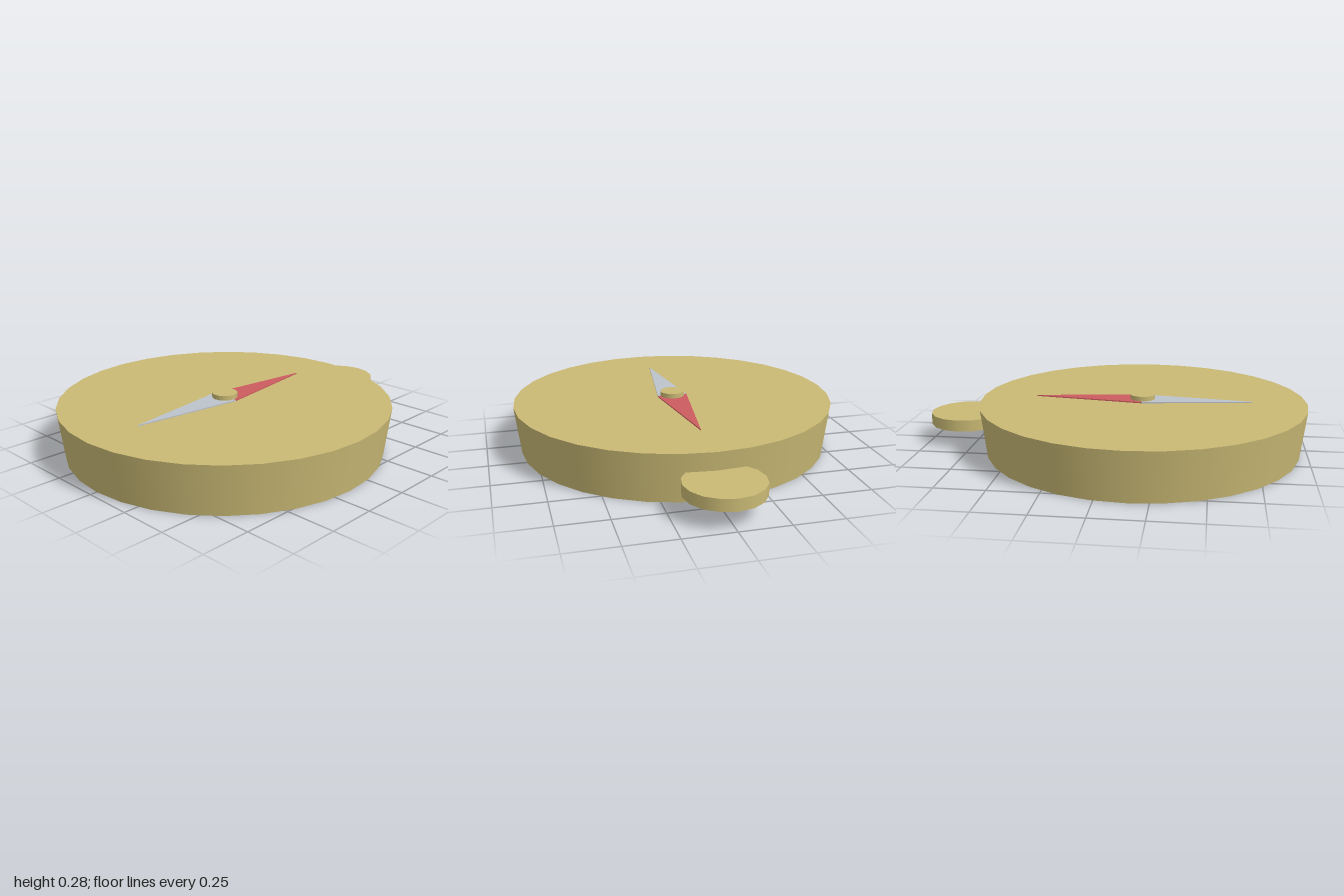
import * as THREE from 'three';

const CENTER_Z = 0.145;

export function createModel() {
  const model = new THREE.Group();
  model.name = 'compass';

  const material = (name, color) => {
    const m = new THREE.MeshStandardMaterial({ color });
    m.name = name;
    return m;
  };
  const brass = material('brass', 0xc9b974);
  const red = material('red', 0xcc5c60);
  const silver = material('silver', 0xbdc3cb);

  const add = (name, geometry, mat, y, z) => {
    const mesh = new THREE.Mesh(geometry, mat);
    mesh.name = name;
    mesh.position.set(0, y, z);
    model.add(mesh);
    return mesh;
  };

  // Tapered case, hanging tab at the back, and centre pin
  add('case', new THREE.CylinderGeometry(0.85, 0.82, 0.25, 32), brass, 0.125, CENTER_Z);
  add('hangingTab', new THREE.CylinderGeometry(0.195, 0.195, 0.06, 16), brass, 0.125, -0.805);
  add('centrePin', new THREE.CylinderGeometry(0.065, 0.065, 0.032, 16), brass, 0.264, CENTER_Z);

  // Two thin triangular needle halves; the shape's +y becomes -z when laid flat
  const needleHalf = (name, mat, direction) => {
    const shape = new THREE.Shape([
      new THREE.Vector2(-0.08, 0),
      new THREE.Vector2(0.08, 0),
      new THREE.Vector2(0, 0.565),
    ]);
    const geometry = new THREE.ExtrudeGeometry(shape, { depth: 0.008, bevelEnabled: false });
    geometry.rotateX(-Math.PI / 2);
    if (direction > 0) geometry.rotateY(Math.PI);
    add(name, geometry, mat, 0.248, CENTER_Z);
  };
  needleHalf('northNeedle', red, -1);
  needleHalf('southNeedle', silver, 1);

  return model;
}
